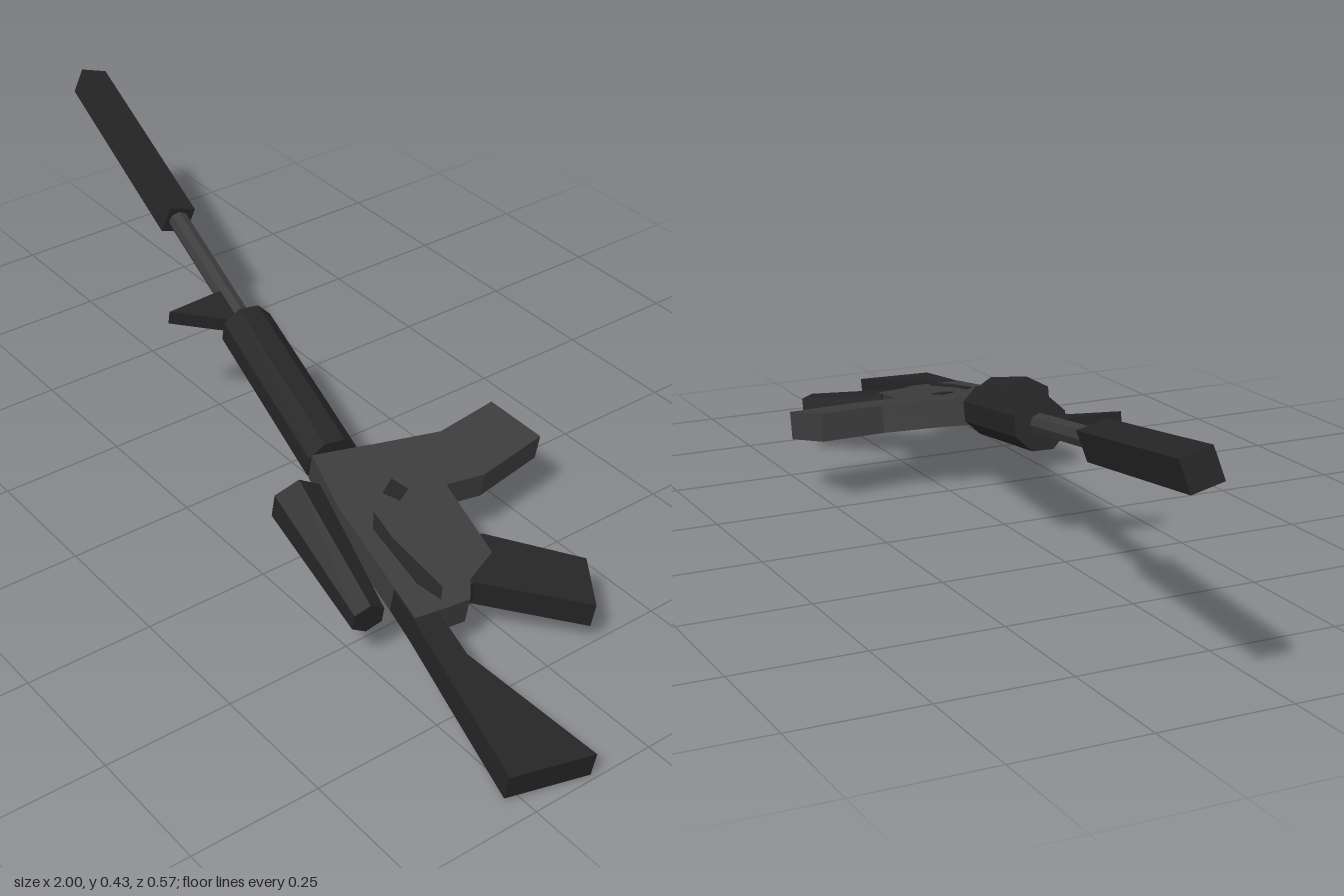
import * as THREE from 'three';

const mat = (name, color) => {
  const m = new THREE.MeshStandardMaterial({ color, flatShading: true });
  m.name = name;
  return m;
};

export function createModel() {
  const black = mat('black polymer', 0x252525);
  const grey = mat('dark grey metal', 0x3c3c3c);
  const rifle = new THREE.Group();
  rifle.name = 'rifle';

  const TILT = 0.184, STRETCH = 1 / Math.cos(TILT);
  const YAW = Math.atan(0.2);
  const axisZ = (x) => 0.03 + 0.203 * x;

  const add = (name, geo, m) => {
    const mesh = new THREE.Mesh(geo, m);
    mesh.name = name;
    rifle.add(mesh);
    return mesh;
  };

  // Flat part: outline given as [x, z], thickness along y
  const plate = (name, pts, t, m, y = 0) => {
    const shape = new THREE.Shape(pts.map(([x, z]) => new THREE.Vector2(x * STRETCH, -z)));
    const geo = new THREE.ExtrudeGeometry(shape, { depth: t, bevelEnabled: false });
    geo.rotateX(-Math.PI / 2).translate(0, y - t / 2, 0);
    return add(name, geo, m);
  };

  // Prism along the barrel line, from x0 to x1, with front and rear radii
  const rod = (name, x0, x1, r0, r1, sides, roll, m, dz = 0) => {
    const len = (x1 - x0) * STRETCH / Math.cos(YAW);
    const geo = new THREE.CylinderGeometry(r0, r1, len, sides, 1, false, roll);
    geo.rotateZ(Math.PI / 2);
    const mesh = add(name, geo, m);
    const mid = (x0 + x1) / 2;
    mesh.position.set(mid * STRETCH, 0, axisZ(mid) + dz);
    mesh.rotation.y = -YAW;
    return mesh;
  };

  // Barrel line
  rod('suppressor', -0.985, -0.488, 0.041, 0.041, 4, Math.PI / 3, black);
  rod('barrel', -0.5, 0.26, 0.021, 0.021, 8, 0, grey);
  rod('handguard', -0.152, 0.228, 0.053, 0.053, 8, Math.PI / 8, black);
  rod('scope', 0.275, 0.563, 0.052, 0.033, 6, Math.PI / 6, black, 0.108);

  // Front sight fin
  plate('frontSight', [[-0.25, -0.01], [-0.16, 0.01], [-0.18, 0.04], [-0.245, 0.118]], 0.03, black);

  // Receiver with its magazine
  plate('receiver', [[0.22, 0.12], [0.25, 0.01], [0.3, -0.05], [0.4, -0.05], [0.57, -0.015],
    [0.6, 0.06], [0.635, 0.09], [0.63, 0.135], [0.62, 0.2], [0.35, 0.158]], 0.058, grey);
  plate('magazine', [[0.25, 0.01], [0.287, -0.13], [0.272, -0.268], [0.39, -0.288],
    [0.415, -0.13], [0.398, -0.04], [0.38, 0.04]], 0.056, grey);

  // Grip and stock
  plate('grip', [[0.525, 0.02], [0.525, -0.03], [0.665, -0.155], [0.757, -0.095],
    [0.61, 0.055], [0.6, 0.1]], 0.054, black);
  plate('stock', [[0.55, 0.13], [0.63, 0.155], [0.725, 0.172], [0.995, 0.122],
    [0.957, 0.277], [0.62, 0.203], [0.55, 0.19]], 0.054, black);

  // Dark inlays on both receiver faces
  for (const y of [0.028, -0.028]) {
    plate('receiverInlay', [[0.39, 0.11], [0.46, 0.12], [0.59, 0.115], [0.61, 0.135],
      [0.56, 0.148], [0.42, 0.135]], 0.006, black, y);
    plate('receiverPin', [[0.34, 0.03], [0.375, 0.02], [0.39, 0.05], [0.36, 0.065]], 0.006, black, y);
  }

  rifle.rotation.z = -TILT;
  rifle.position.y = 0.209;
  const model = new THREE.Group();
  model.name = 'model';
  model.add(rifle);
  return model;
}
